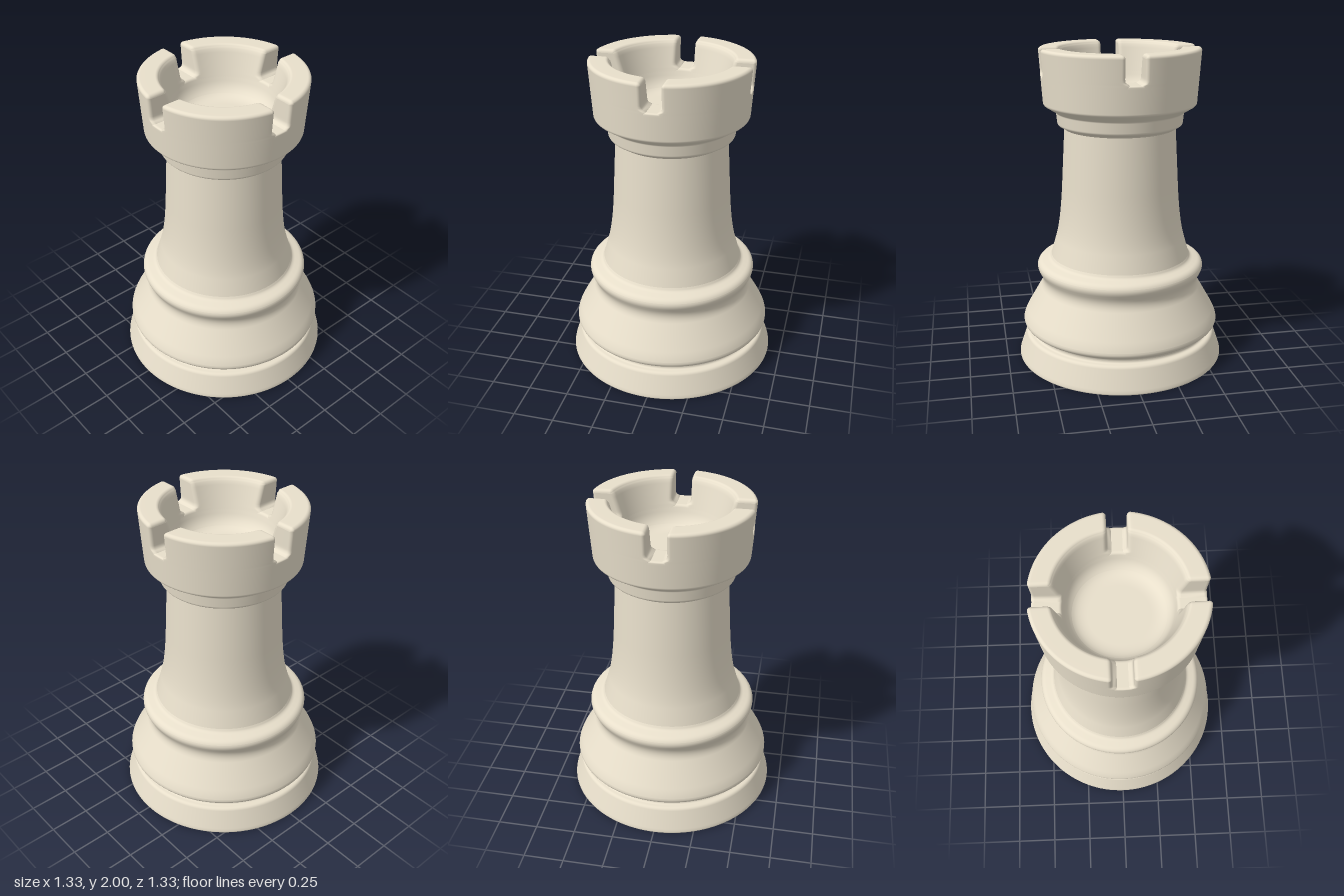
import * as THREE from 'three';

const material = new THREE.MeshStandardMaterial({ color: 0xe8dfcb });

// Turns corners [radius, height, fillet] into a profile with rounded corners.
function roundedProfile(corners, steps = 6) {
  const out = [];
  corners.forEach(([x, y, fillet = 0], i) => {
    const p = new THREE.Vector2(x, y);
    if (!fillet || i === 0 || i === corners.length - 1) return out.push(p);
    const toward = ([qx, qy]) => {
      const d = new THREE.Vector2(qx, qy).sub(p);
      return d.setLength(Math.min(fillet, d.length() * 0.49)).add(p);
    };
    const curve = new THREE.QuadraticBezierCurve(toward(corners[i - 1]), p, toward(corners[i + 1]));
    out.push(...curve.getPoints(steps));
  });
  return out;
}

function turned(name, corners, steps) {
  const mesh = new THREE.Mesh(new THREE.LatheGeometry(roundedProfile(corners, steps), 128), material);
  mesh.name = name;
  return mesh;
}

// Battlement dimensions
const TOP = 2, SLOT_Y = 1.83, BASE_Y = 1.81, EDGE = 0.022, SLOT = 0.058, COVE = 0.03;
const outerR = y => 0.485 + (y - BASE_Y) * 0.07;
const innerR = y => 0.314 + (y - BASE_Y) * 0.29;

// Cross-section of the battlement wall, inset at its ends to round the edges.
function wallSection(inset) {
  const r = EDGE - inset, side = [], arc = [];
  for (let i = 0; i <= 12; i++) side.push(BASE_Y + (TOP - EDGE - BASE_Y) * (i / 12) ** 1.6);
  for (let i = 1; i <= 5; i++) arc.push(i / 5 * Math.PI / 2);
  const half = (radius, s) => [
    ...side.map(y => [radius(y) - s * inset, y]),
    ...arc.map(a => [
      radius(TOP) - s * (EDGE - r * Math.cos(a)),
      TOP - EDGE + r * Math.sin(a)
    ])
  ];
  return [...half(outerR, 1), ...half(innerR, -1).reverse()];
}

// Half the slot width, narrowing in a cove at the slot floor.
function slotHalf(y) {
  const t = THREE.MathUtils.clamp((SLOT_Y + COVE - y) / COVE, 0, 1);
  return SLOT - COVE * (1 - Math.sqrt(1 - t * t));
}

// A quarter wall whose ends run parallel to the slots.
function merlonGeometry() {
  const rings = [], pos = [], index = [];
  const ends = 5, mid = 32;
  for (let k = 0; k <= ends; k++) {
    const a = k / ends * Math.PI / 2;
    rings.push({ t: 0, inset: EDGE * (1 - Math.sin(a)), gap: EDGE * (1 - Math.cos(a)) });
  }
  for (let k = 1; k < mid; k++) rings.push({ t: k / mid, inset: 0, gap: EDGE });
  for (let k = ends; k >= 0; k--) rings.push({ ...rings[k], t: 1 });
  for (const { t, inset, gap } of rings) {
    for (const [r, y] of wallSection(inset)) {
      const a = Math.asin((slotHalf(y) + gap) / r);
      const angle = a + t * (Math.PI / 2 - 2 * a);
      pos.push(r * Math.sin(angle), y, r * Math.cos(angle));
    }
  }
  const n = wallSection(0).length, last = (rings.length - 1) * n;
  for (let j = 0; j < rings.length - 1; j++) {
    for (let i = 0; i < n - 1; i++) {
      const a = j * n + i, b = a + n;
      index.push(a, b, a + 1, b, b + 1, a + 1);
    }
  }
  // End faces bridge the outer and inner halves of the section.
  for (let i = 0; i < n / 2 - 1; i++) {
    const j = n - 1 - i;
    index.push(i, i + 1, j, i + 1, j - 1, j);
    index.push(last + i, last + j, last + i + 1, last + i + 1, last + j, last + j - 1);
  }
  const geometry = new THREE.BufferGeometry();
  geometry.setAttribute('position', new THREE.Float32BufferAttribute(pos, 3));
  geometry.setIndex(index);
  geometry.computeVertexNormals();
  return geometry;
}

export function createModel() {
  const model = new THREE.Group();
  model.name = 'rook';

  // Hollow underside, foot, groove, skirt and collar
  model.add(turned('base', [
    [0.5, 0], [0.667, 0, 0.012], [0.664, 0.022, 0.01], [0.615, 0.167, 0.018],
    [0.575, 0.17, 0.015], [0.575, 0.2, 0.015], [0.64, 0.232, 0.035],
    [0.622, 0.288, 0.035], [0.492, 0.515, 0.05], [0.54, 0.605, 0.03],
    [0.523, 0.645, 0.025], [0.455, 0.664, 0.018], [0.443, 0.685]
  ]));

  const dome = [];
  for (let i = 0; i <= 24; i++) {
    const a = i / 24 * Math.PI / 2;
    dome.push([0.5 * Math.sin(a), 0.5 * Math.cos(a)]);
  }
  model.add(turned('hollow', dome));

  // Tapering shaft
  model.add(turned('shaft', [
    [0.443, 0.685], [0.38, 0.91, 0.24], [0.347, 1.505]
  ], 20));

  // Neck ring, flared head and shallow cup
  model.add(turned('head', [
    [0.347, 1.505], [0.354, 1.513, 0.006], [0.389, 1.53, 0.012], [0.397, 1.608, 0.008],
    [0.474, 1.655, 0.012], [0.485, 1.81], [0.4855, 1.83, 0.016],
    [0.32, 1.83, 0.016], [0.296, 1.75, 0.05], [0.24, 1.7, 0.06], [0, 1.7]
  ]));

  // Four battlements
  const geometry = merlonGeometry();
  for (let i = 0; i < 4; i++) {
    const merlon = new THREE.Mesh(geometry, material);
    merlon.name = 'battlement' + (i + 1);
    merlon.rotation.y = i * Math.PI / 2;
    model.add(merlon);
  }
  return model;
}
